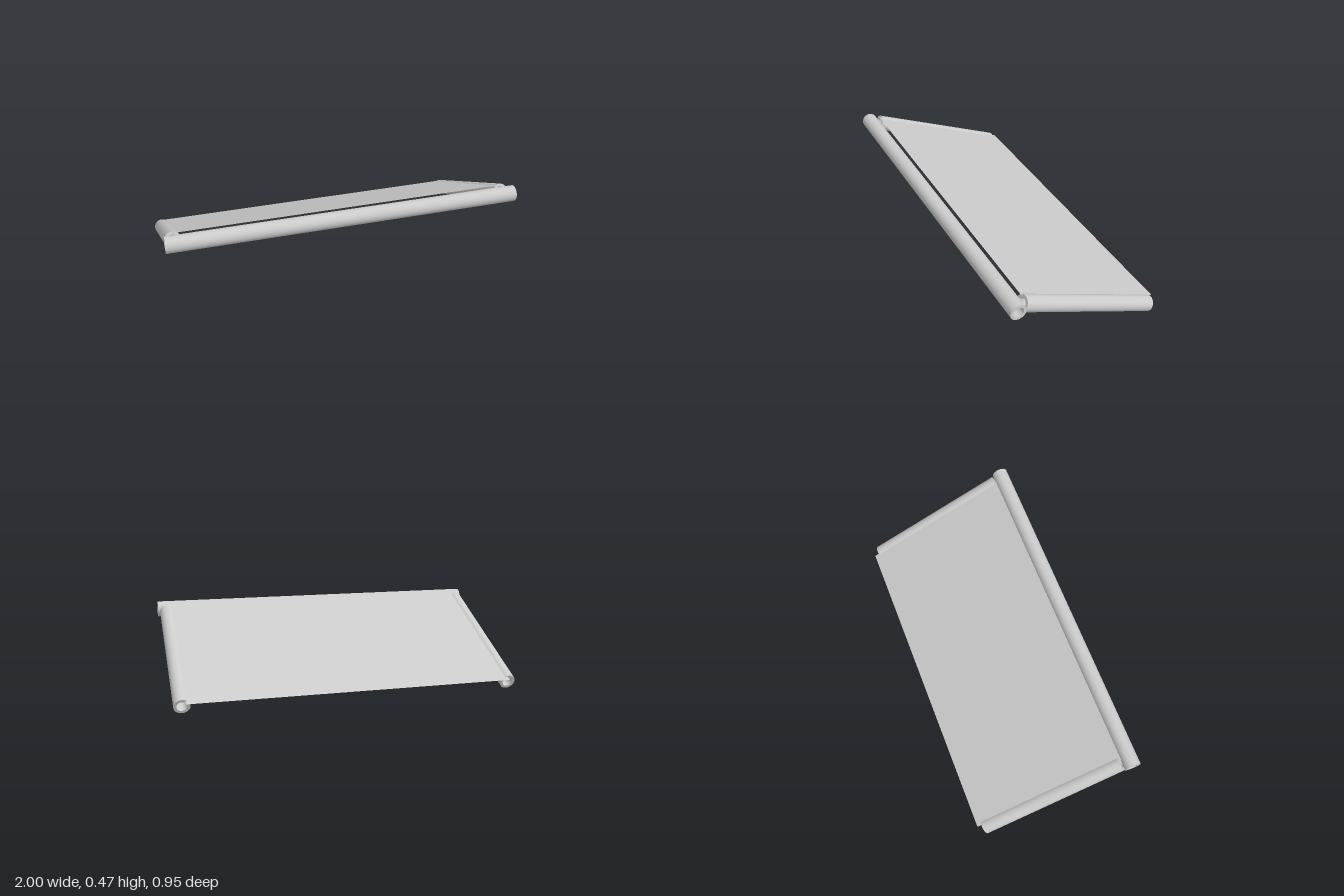
import * as THREE from 'three';

const SIDES = 24;

// Hollow pipe with open bore, running from one point to another
function pipe(name, from, to, outer, inner, material) {
  const length = from.distanceTo(to);
  const h = length / 2;
  const wall = (points) => new THREE.LatheGeometry(points.map(([r, y]) => new THREE.Vector2(r, y)), SIDES);
  const group = new THREE.Group();
  group.name = name;
  const parts = {
    outerWall: [[outer, -h], [outer, h]],
    upperRim: [[outer, h], [inner, h]],
    bore: [[inner, h], [inner, -h]],
    lowerRim: [[inner, -h], [outer, -h]],
  };
  for (const [part, points] of Object.entries(parts)) {
    const mesh = new THREE.Mesh(wall(points), material);
    mesh.name = part;
    group.add(mesh);
  }
  group.position.copy(from).add(to).multiplyScalar(0.5);
  group.quaternion.setFromUnitVectors(new THREE.Vector3(0, 1, 0), to.clone().sub(from).normalize());
  return group;
}

export function createModel() {
  const model = new THREE.Group();
  model.name = 'slopedPanelFrame';
  const grey = new THREE.MeshStandardMaterial({ color: 0xcccccc, side: THREE.DoubleSide });
  const V = (x, y, z) => new THREE.Vector3(x, y, z);
  const outer = 0.046, inner = 0.03;

  // Long front pipe
  model.add(pipe('frontPipe', V(-1, 0.427, 0.427), V(1, 0.427, 0.427), outer, inner, grey));

  // Sloping side pipes
  for (const [name, x] of [['rightPipe', -0.953], ['leftPipe', 0.944]]) {
    model.add(pipe(name, V(x, 0.044, -0.431), V(x, 0.42, 0.377), outer, inner, grey));
  }

  // Thin sheet lying on the side pipes
  const back = V(0, 0.067, -0.474), front = V(0, 0.462, 0.375);
  const sheet = new THREE.Mesh(new THREE.PlaneGeometry(1.872, back.distanceTo(front)), grey);
  sheet.name = 'sheet';
  sheet.position.copy(back).add(front).multiplyScalar(0.5);
  sheet.position.x = -0.01;
  sheet.rotation.x = -Math.PI / 2 - Math.atan2(front.y - back.y, front.z - back.z);
  model.add(sheet);

  return model;
}
